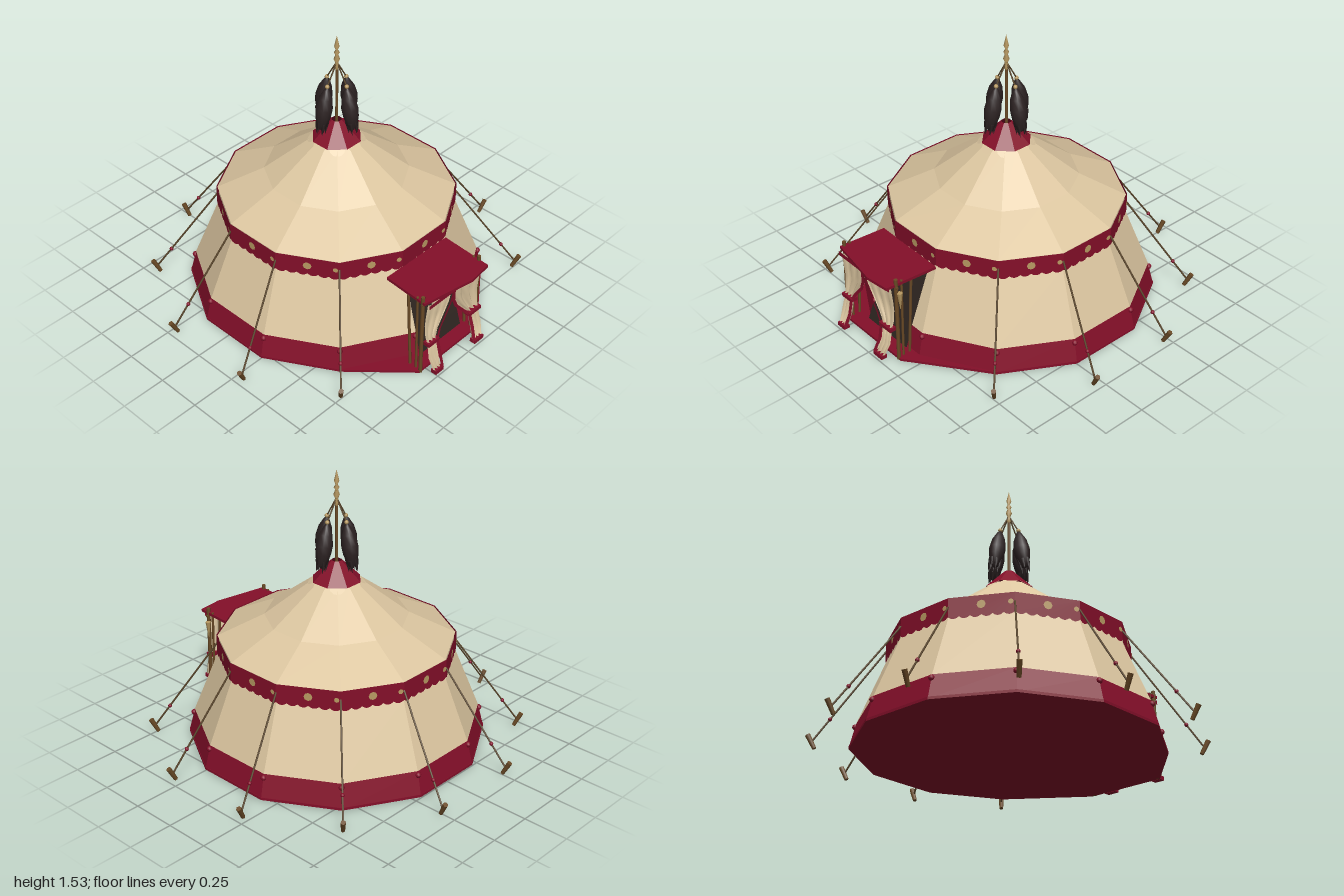
import * as THREE from 'three';

const mat = (name, color, side = THREE.FrontSide) => {
  const m = new THREE.MeshStandardMaterial({ color, side });
  m.name = name;
  return m;
};
const V = (x, y, z) => new THREE.Vector3(x, y, z);
const SIDES = 12, STEP = Math.PI / 6, HALF = STEP / 2;
const CZ = 0.04; // tent centre in z

export function createModel() {
  const canvas = mat('canvas', 0xdcc6a0, THREE.DoubleSide);
  const red = mat('crimson cloth', 0x840f29, THREE.DoubleSide);
  const wood = mat('wood', 0x6a4a26);
  const rope = mat('rope', 0x5a462c);
  const gold = mat('gold', 0xb99a62, THREE.DoubleSide);
  const feather = mat('dark feather', 0x2c2222);
  const dark = mat('dark interior', 0x2e2520, THREE.DoubleSide);

  const root = new THREE.Group();
  root.name = 'tent';
  const tent = new THREE.Group();
  tent.name = 'roundTent';
  tent.position.z = CZ;
  root.add(tent);

  const add = (parent, name, geo, material, pos) => {
    const m = new THREE.Mesh(geo, material);
    m.name = name;
    if (pos) m.position.copy(pos);
    parent.add(m);
    return m;
  };
  const faceted = (geo) => {
    const g = geo.toNonIndexed();
    g.computeVertexNormals();
    return g;
  };
  const rod = (parent, name, a, b, r, material, rTop = r) => {
    const m = add(parent, name, new THREE.CylinderGeometry(rTop, r, a.distanceTo(b), 6), material);
    m.position.copy(a).add(b).multiplyScalar(0.5);
    m.quaternion.setFromUnitVectors(V(0, 1, 0), b.clone().sub(a).normalize());
    return m;
  };
  // Faceted ring between two heights; radii are measured to the flat sides
  const ring = (name, r0, y0, r1, y1, material, n = SIDES) => {
    const k = Math.cos(Math.PI / n);
    const g = new THREE.CylinderGeometry(r1 / k, r0 / k, y1 - y0, n, 1, true, Math.PI / n);
    return add(tent, name, faceted(g), material, V(0, (y0 + y1) / 2, 0));
  };
  // Surface through rows of points
  const sheet = (parent, name, rows, material) => {
    const w = rows[0].length, idx = [];
    for (let i = 0; i < rows.length - 1; i++)
      for (let j = 0; j < w - 1; j++) {
        const a = i * w + j;
        idx.push(a, a + w, a + 1, a + 1, a + w, a + w + 1);
      }
    const g = new THREE.BufferGeometry().setFromPoints(rows.flat());
    g.setIndex(idx);
    g.computeVertexNormals();
    return add(parent, name, g, material);
  };
  const polar = (r, a, y) => V(r * Math.sin(a), y, r * Math.cos(a));

  // Walls and roof
  ring('wallHem', 0.79, 0.015, 0.757, 0.15, red);
  ring('wall', 0.757, 0.15, 0.62, 0.5, canvas);
  ring('wallTop', 0.62, 0.5, 0.612, 0.6, canvas);
  ring('lowerRoof', 0.62, 0.6, 0.375, 0.725, canvas);
  ring('upperRoof', 0.375, 0.725, 0.12, 0.925, canvas);
  ring('roofCap', 0.125, 0.925, 0.025, 1.035, red, 8);

  // Floor cloth, stretched forward under the porch
  const floor = new THREE.Shape();
  for (let k = 0; k < SIDES; k++) {
    const p = polar(0.79 / Math.cos(HALF), HALF + k * STEP, 0);
    if (k === 0) p.set(0.17, 0, 0.88);
    if (k === SIDES - 1) p.set(-0.3, 0, 0.88);
    floor[k ? 'lineTo' : 'moveTo'](p.x, -p.z);
  }
  const floorGeo = new THREE.ExtrudeGeometry(floor, { depth: 0.014, bevelEnabled: false });
  floorGeo.rotateX(-Math.PI / 2);
  add(tent, 'floorCloth', floorGeo, red, V(0, 0.012, 0));

  // Scalloped band under the eaves with round studs
  const w = 0.626 * Math.tan(HALF), band = new THREE.Shape(), N = 6;
  band.moveTo(w, 0.603);
  band.lineTo(-w, 0.603);
  band.lineTo(-w, 0.5);
  for (let i = 0; i < N; i++) {
    const x = -w + (2 * w * i) / N, d = (2 * w) / N;
    band.quadraticCurveTo(x + d / 2, 0.474, x + d, 0.5);
  }
  const bandGeo = new THREE.ShapeGeometry(band, 4);
  for (let k = 0; k < SIDES; k++) {
    const side = new THREE.Group();
    side.name = 'eavesPanel';
    side.rotation.y = k * STEP;
    tent.add(side);
    add(side, 'eavesBand', bandGeo, red, V(0, 0, 0.626));
    add(side, 'bandStud', new THREE.CircleGeometry(0.023, 8), gold, V(0, 0.553, 0.63));
    add(side, 'smallStud', new THREE.CircleGeometry(0.014, 8), gold, V(w - 0.02, 0.553, 0.63));
  }

  // Guy ropes, stakes and knobs at each corner but the two beside the door
  for (let k = 0; k < SIDES; k++) {
    const a = HALF + k * STEP;
    add(tent, 'hemKnob', new THREE.SphereGeometry(0.016, 8, 6), red, polar(0.788, a, 0.13));
    if (k === 0 || k === SIDES - 1) continue;
    const top = polar(0.645, a, 0.555), end = polar(1.005, a, 0.05);
    rod(tent, 'guyRope', top, end, 0.005, rope);
    rod(tent, 'stake', polar(0.99, a, 0.012), polar(1.028, a, 0.085), 0.011, wood, 0.014);
    add(tent, 'ropeBead', new THREE.SphereGeometry(0.011, 8, 6), red, top.clone().lerp(end, 0.76));
  }

  // Cloth petals round the cap
  for (let k = 0; k < 8; k++) {
    const petal = new THREE.Group();
    petal.name = 'capPetal';
    petal.rotation.y = (k * Math.PI) / 4;
    tent.add(petal);
    const disc = add(petal, 'petal', new THREE.CircleGeometry(0.042, 12), canvas, V(0, 0.927, 0.122));
    disc.rotation.x = -Math.PI / 2 + 0.67;
  }

  // Mast and spear finial
  rod(tent, 'mast', V(0, 1.0, 0), V(0, 1.44, 0), 0.008, wood);
  const finial = [[0.008, 1.34], [0.014, 1.36], [0.008, 1.38], [0.017, 1.4], [0.008, 1.425],
    [0.015, 1.44], [0.006, 1.455], [0.014, 1.475], [0.0005, 1.535]];
  add(tent, 'finial', new THREE.LatheGeometry(finial.map(([x, y]) => new THREE.Vector2(x, y)), 8), gold);

  // Four hanging feather tassels
  const plume = [[0.001, -0.245], [0.025, -0.225], [0.041, -0.165], [0.045, -0.12], [0.036, -0.06],
    [0.016, -0.015], [0.004, 0]].map(([x, y]) => new THREE.Vector2(x, y));
  for (let k = 0; k < 4; k++) {
    const arm = new THREE.Group();
    arm.name = 'tasselArm';
    arm.rotation.y = (k * Math.PI) / 2;
    tent.add(arm);
    rod(arm, 'tasselCord', V(0, 1.37, 0.008), V(0, 1.265, 0.07), 0.004, rope);
    add(arm, 'tasselBead', new THREE.SphereGeometry(0.012, 8, 6), gold, V(0, 1.265, 0.07));
    const tassel = new THREE.Group();
    tassel.name = 'tassel';
    tassel.position.set(0, 1.26, 0.07);
    tassel.rotation.x = -0.19;
    arm.add(tassel);
    add(tassel, 'plume', new THREE.LatheGeometry(plume, 10), feather);
    for (let i = 0; i < 6; i++) {
      const p = polar(0.024, (i * Math.PI) / 3, -0.225 - 0.008 * (i % 2));
      const tip = add(tassel, 'featherTip', new THREE.ConeGeometry(0.013, 0.07, 5), feather, p);
      tip.rotation.x = Math.PI;
    }
  }

  // Porch
  const porch = new THREE.Group();
  porch.name = 'porch';
  root.add(porch);

  // Dark doorway lying on the sloping front wall
  const wallZ = (y) => CZ + 0.803 - (y * 0.17) / 0.48;
  sheet(porch, 'doorway', [
    [V(-0.165, 0.45, wallZ(0.45)), V(0.12, 0.45, wallZ(0.45))],
    [V(-0.2, 0.15, wallZ(0.15) + 0.012), V(0.12, 0.15, wallZ(0.15) + 0.012)],
    [V(-0.21, 0.026, wallZ(0.026) + 0.008), V(0.12, 0.026, wallZ(0.026) + 0.008)],
  ], dark);

  // Awning
  const awning = new THREE.Shape();
  [[-0.28, -0.66], [-0.3, -0.93], [0.01, -0.985], [0.15, -0.97], [0.17, -0.67]]
    .forEach(([x, y], i) => awning[i ? 'lineTo' : 'moveTo'](x, y));
  const awningGeo = new THREE.ExtrudeGeometry(awning, { depth: 0.016, bevelEnabled: false });
  awningGeo.rotateX(-Math.PI / 2);
  add(porch, 'awning', awningGeo, red, V(0, 0.478, 0));

  // Porch posts, front pair and leaning rear pair
  for (const x of [-0.29, 0.15]) {
    rod(porch, 'frontPost', V(x, 0.012, 0.915), V(x, 0.52, 0.91), 0.011, wood);
    rod(porch, 'braceps'.slice(0, 5), V(x, 0.025, 0.885), V(x, 0.5, 0.875), 0.007, wood);
    rod(porch, 'rearPost', V(x, 0.025, 0.845), V(x, 0.48, 0.815), 0.008, wood);
  }
  rod(porch, 'awningRail', V(-0.3, 0.472, 0.912), V(0.165, 0.472, 0.912), 0.008, wood);

  // Tied curtains: y, outer x, inner x, z
  const left = [[0.475, -0.28, -0.088, 0.935], [0.38, -0.28, -0.1, 0.925], [0.32, -0.278, -0.125, 0.92],
    [0.25, -0.275, -0.18, 0.925], [0.205, -0.268, -0.205, 0.935], [0.12, -0.276, -0.203, 0.955],
    [0.04, -0.265, -0.212, 0.985]];
  const right = [[0.475, 0.14, -0.088, 0.935], [0.38, 0.14, -0.075, 0.925], [0.32, 0.138, -0.045, 0.92],
    [0.25, 0.135, 0.015, 0.925], [0.205, 0.13, 0.055, 0.935], [0.12, 0.136, 0.062, 0.955],
    [0.04, 0.115, 0.05, 0.985]];
  for (const [side, rows, s] of [['left', right, -1], ['right', left, 1]]) {
    const folds = rows.map(([y, xo, xi, z]) => Array.from({ length: 13 }, (_, j) =>
      V(xo + ((xi - xo) * j) / 12, y, z + 0.012 * Math.sin(j * 1.57))));
    sheet(porch, side + 'Curtain', folds, canvas);
    sheet(porch, side + 'CurtainTrim', rows.map(([y, , xi, z]) =>
      [V(xi - s * 0.009, y, z + 0.014), V(xi + s * 0.012, y, z + 0.012)]), red);
    const [y, xo, xi, z] = rows[4];
    add(porch, side + 'CurtainTie', new THREE.BoxGeometry(Math.abs(xi - xo) + 0.02, 0.02, 0.04), red,
      V((xo + xi) / 2, y, z));
    const [yb, xob, xib, zb] = rows[6];
    add(porch, side + 'CurtainHem', new THREE.BoxGeometry(Math.abs(xib - xob) + 0.006, 0.022, 0.034), red,
      V((xob + xib) / 2, yb, zb));
  }
  sheet(porch, 'valance', [
    [V(-0.285, 0.48, 0.95), V(0.145, 0.48, 0.95)], [V(-0.285, 0.455, 0.95), V(0.145, 0.455, 0.95)],
  ], red);
  // Cord tassel on the right-hand post
  const cordTassel = add(porch, 'cordTassel', new THREE.ConeGeometry(0.016, 0.11, 6), gold, V(0.165, 0.385, 0.9));
  cordTassel.rotation.x = Math.PI;

  return root;
}
